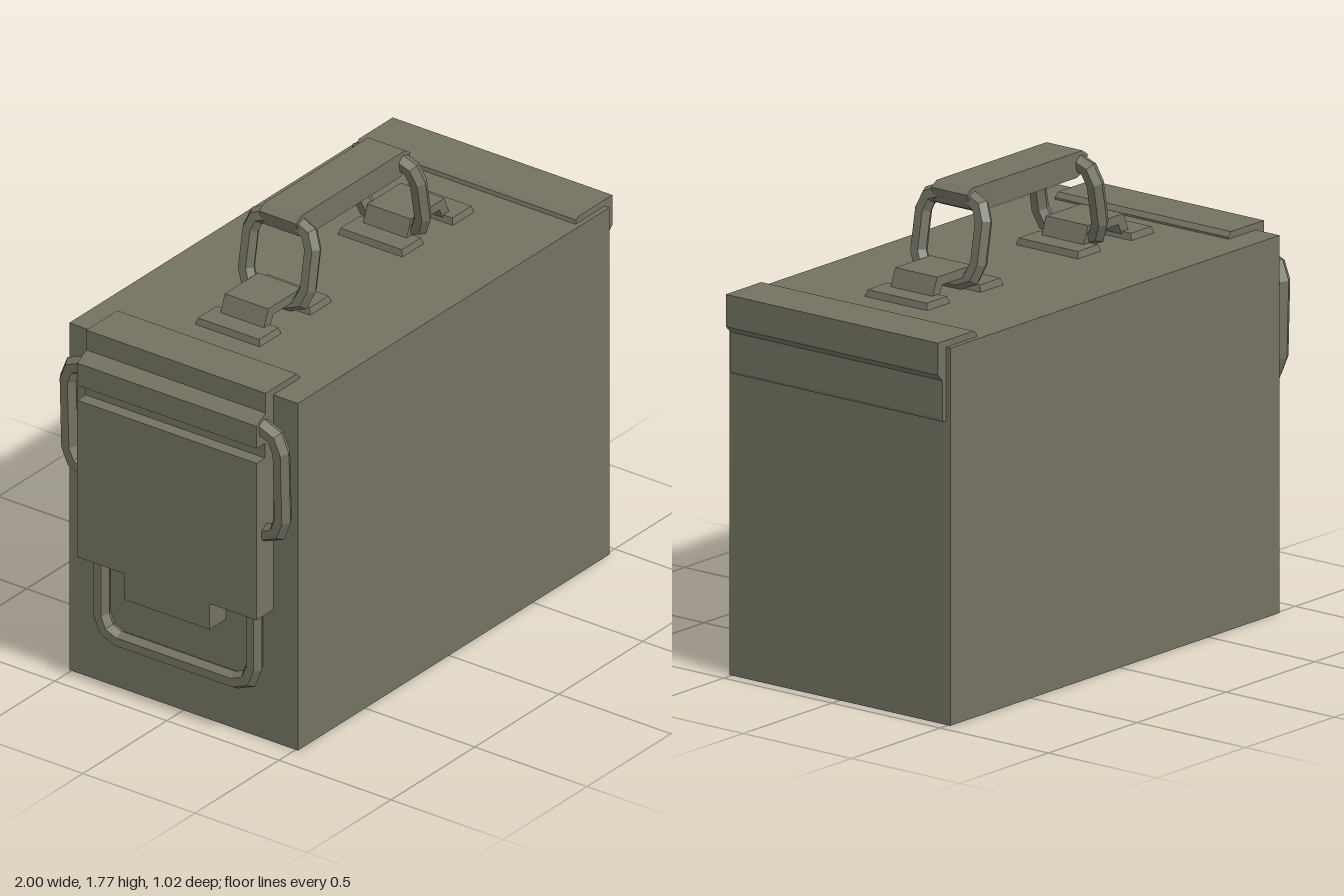
import * as THREE from 'three';

const paint = new THREE.MeshStandardMaterial({ color: 0x747262 });
paint.name = 'olive drab paint';

function addMesh(parent, name, geometry) {
  const mesh = new THREE.Mesh(geometry, paint);
  mesh.name = name;
  parent.add(mesh);
  return mesh;
}

// Box given by its limits on each axis
function block(x0, x1, y0, y1, z0, z1) {
  return new THREE.BoxGeometry(x1 - x0, y1 - y0, z1 - z0)
    .translate((x0 + x1) / 2, (y0 + y1) / 2, (z0 + z1) / 2);
}

// Side profile in x, y, extruded evenly across z
function sideProfile(points, halfDepth) {
  const shape = new THREE.Shape(points.map(([x, y]) => new THREE.Vector2(x, y)));
  return new THREE.ExtrudeGeometry(shape, { depth: 2 * halfDepth, bevelEnabled: false })
    .translate(0, 0, -halfDepth);
}

// Low plate whose top face is slightly smaller than its base
function taperedPlate(x0, x1, y0, y1, halfZ, inset) {
  const geometry = block(x0, x1, y0, y1, -halfZ, halfZ);
  const pos = geometry.attributes.position;
  const middle = (x0 + x1) / 2;
  for (let i = 0; i < pos.count; i++) {
    if (pos.getY(i) < (y0 + y1) / 2) continue;
    pos.setX(i, pos.getX(i) - Math.sign(pos.getX(i) - middle) * inset);
    pos.setZ(i, pos.getZ(i) - Math.sign(pos.getZ(i)) * inset);
  }
  geometry.computeVertexNormals();
  return geometry;
}

// Closed rounded-rectangle loop of six-sided wire, lying in the y, z plane
function wireLoop(halfWidth, halfHeight, corner, radius) {
  const path = [];
  const centres = [[1, 1], [-1, 1], [-1, -1], [1, -1]];
  centres.forEach(([sx, sy], q) => {
    for (let k = 0; k <= 2; k++) {
      const a = (q + k / 2) * Math.PI / 2;
      path.push(new THREE.Vector2(
        sx * (halfWidth - corner) + corner * Math.cos(a),
        sy * (halfHeight - corner) + corner * Math.sin(a)));
    }
  });
  const count = path.length;
  const edgeNormal = (i) => {
    const d = path[(i + 1) % count].clone().sub(path[i]).normalize();
    return new THREE.Vector2(d.y, -d.x);
  };
  const rings = path.map((p, i) => {
    const before = edgeNormal((i + count - 1) % count);
    const n = before.clone().add(edgeNormal(i)).normalize();
    const mitre = 1 / n.dot(before);
    return Array.from({ length: 6 }, (_, j) => {
      const a = j * Math.PI / 3;
      const out = radius * Math.cos(a) * mitre;
      return [p.x + n.x * out, p.y + n.y * out, radius * Math.sin(a)];
    });
  });
  const vertices = [];
  for (let i = 0; i < count; i++) {
    for (let j = 0; j < 6; j++) {
      const a = rings[i][j], b = rings[(i + 1) % count][j];
      const c = rings[(i + 1) % count][(j + 1) % 6], d = rings[i][(j + 1) % 6];
      vertices.push(...a, ...b, ...c, ...a, ...c, ...d);
    }
  }
  const geometry = new THREE.BufferGeometry();
  geometry.setAttribute('position', new THREE.Float32BufferAttribute(vertices, 3));
  geometry.rotateY(Math.PI / 2);
  geometry.computeVertexNormals();
  return geometry;
}

export function createModel() {
  const model = new THREE.Group();
  model.name = 'metalStorageCan';

  addMesh(model, 'canBody', block(-0.9, 0.955, 0, 1.405, -0.51, 0.51));

  // Hinge cover folded over the left end of the lid
  addMesh(model, 'hingeCover', sideProfile([
    [0.78, 1.4], [0.95, 1.4], [0.95, 1.13], [0.97, 1.13], [0.975, 1.14],
    [0.975, 1.285], [1, 1.31], [1, 1.43], [0.8, 1.43], [0.785, 1.42],
  ], 0.49));

  // Catch folded over the other end, with its hooked lip
  addMesh(model, 'latchCatch', sideProfile([
    [-0.745, 1.4], [-0.745, 1.412], [-0.76, 1.43], [-0.945, 1.43], [-0.945, 1.35],
    [-1, 1.32], [-1, 1.23], [-0.95, 1.23], [-0.95, 1.16], [-0.89, 1.16], [-0.89, 1.4],
  ], 0.4));

  // Latch plate with a narrower pull tab below
  const latch = new THREE.Group();
  latch.name = 'latch';
  model.add(latch);
  addMesh(latch, 'latchPlate', block(-1, -0.9, 0.535, 1.17, -0.4, 0.4));
  addMesh(latch, 'latchTab', block(-1, -0.9, 0.43, 0.535, -0.19, 0.19));

  // Wire loops that hold the latch
  const upperWire = addMesh(latch, 'upperLatchWire', wireLoop(0.475, 0.217, 0.08, 0.034));
  upperWire.position.set(-0.947, 1.08, 0);
  upperWire.rotation.z = 0.035;
  const lowerWire = addMesh(latch, 'lowerLatchWire', wireLoop(0.34, 0.22, 0.08, 0.033));
  lowerWire.position.set(-0.932, 0.44, 0);

  // Carrying handle: grip, two leaning wire loops and their brackets
  const handle = new THREE.Group();
  handle.name = 'carryingHandle';
  model.add(handle);
  addMesh(handle, 'grip', sideProfile([
    [-0.28, 1.68], [0.28, 1.68], [0.325, 1.7], [0.34, 1.755], [0.31, 1.775],
    [-0.31, 1.775], [-0.34, 1.755], [-0.325, 1.7],
  ], 0.083));

  for (const side of [1, -1]) {
    const loop = addMesh(handle, 'handleLoop', wireLoop(0.138, 0.15, 0.075, 0.033));
    loop.position.set(side * 0.328, 1.587, 0);
    loop.rotation.z = side * 0.18;

    const bracket = new THREE.Group();
    bracket.name = 'handleBracket';
    bracket.position.x = side * 0.425;
    bracket.rotation.y = side > 0 ? 0 : Math.PI;
    handle.add(bracket);
    addMesh(bracket, 'innerFoot', taperedPlate(-0.215, -0.085, 1.4, 1.43, 0.145, 0.008));
    addMesh(bracket, 'outerFoot', taperedPlate(0.085, 0.215, 1.4, 1.43, 0.145, 0.008));
    addMesh(bracket, 'bridge', sideProfile([
      [-0.13, 1.42], [-0.09, 1.42], [-0.07, 1.46], [0.07, 1.46], [0.09, 1.42],
      [0.13, 1.42], [0.1, 1.495], [-0.1, 1.495],
    ], 0.097));
  }

  return model;
}
